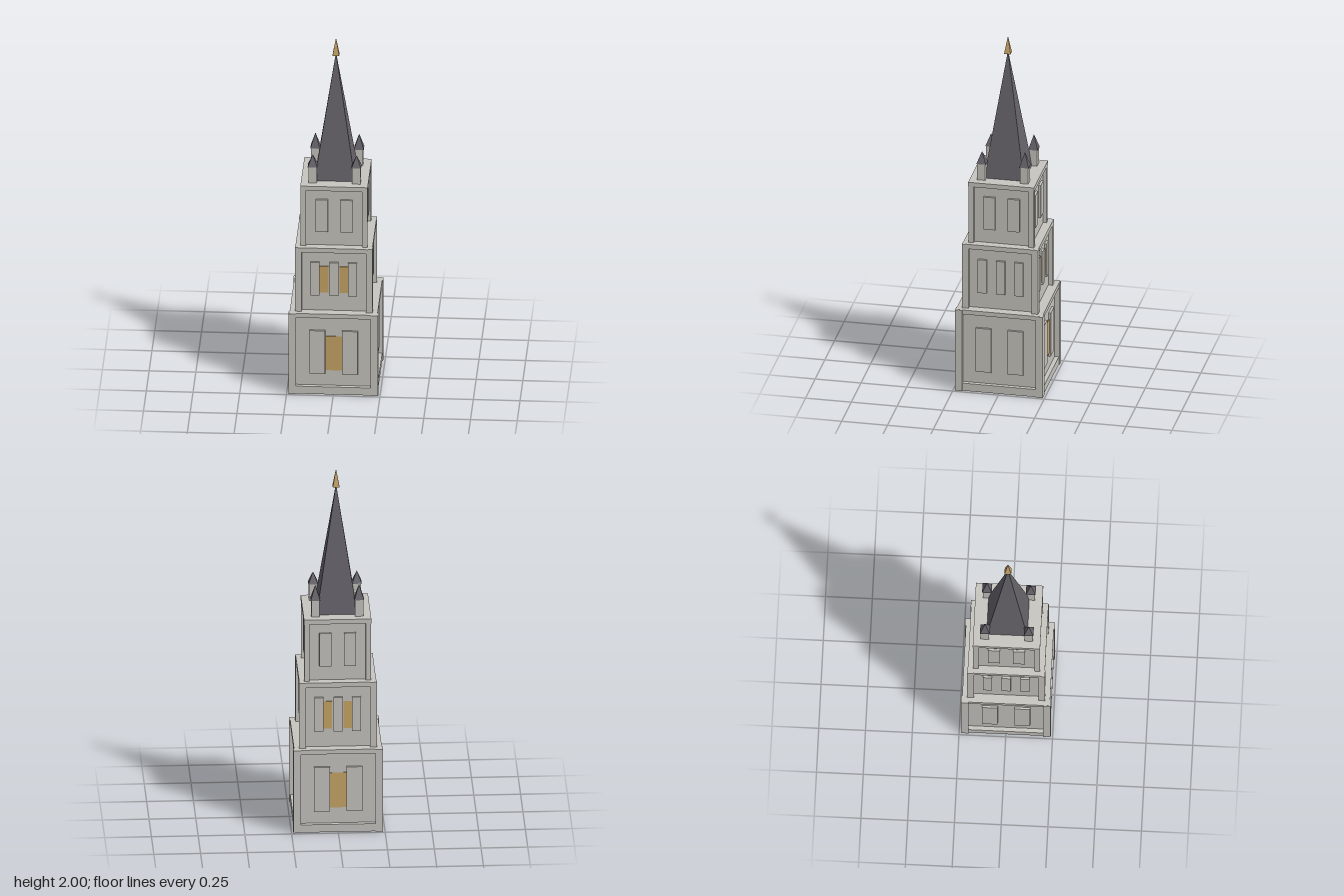
import * as THREE from 'three';

const stone = new THREE.MeshStandardMaterial({ color: 0xc8c6c0 });
stone.name = 'stone';
const slate = new THREE.MeshStandardMaterial({ color: 0x66626a });
slate.name = 'slate';
const gold = new THREE.MeshStandardMaterial({ color: 0xc9a668 });
gold.name = 'gold';

// Box given by its centre in x and z and its bottom and top in y
function block(parent, name, material, w, d, y0, y1, x = 0, z = 0) {
  const mesh = new THREE.Mesh(new THREE.BoxGeometry(w, y1 - y0, d), material);
  mesh.name = name;
  mesh.position.set(x, (y0 + y1) / 2, z);
  parent.add(mesh);
  return mesh;
}

// Square pyramid with crisp faces
function pyramid(parent, name, material, half, y0, y1, x = 0, z = 0) {
  const cone = new THREE.ConeGeometry(half * Math.SQRT2, y1 - y0, 4);
  cone.rotateY(Math.PI / 4);
  const geometry = cone.toNonIndexed();
  geometry.computeVertexNormals();
  const mesh = new THREE.Mesh(geometry, material);
  mesh.name = name;
  mesh.position.set(x, (y0 + y1) / 2, z);
  parent.add(mesh);
}

// Each storey: recessed wall, corner posts, cornice, raised panels, lit windows
const storeys = [
  { name: 'lowerStorey', y0: 0, y1: 0.475, wall: 0.212, band: 0.235, post: 0.24, postIn: 0.2,
    bandY: 0.45, plinthY: 0.045,
    panels: { xs: [-0.087, 0.087], w: 0.085, y0: 0.115, y1: 0.37 },
    windows: { xs: [0], w: 0.088, y0: 0.135, y1: 0.335 } },
  { name: 'middleStorey', y0: 0.475, y1: 0.85, wall: 0.184, band: 0.206, post: 0.208, postIn: 0.172,
    bandY: 0.823,
    panels: { xs: [-0.1, 0, 0.1], w: 0.048, y0: 0.565, y1: 0.76 },
    windows: { xs: [-0.055, 0.055], w: 0.05, y0: 0.58, y1: 0.735 } },
  { name: 'upperStorey', y0: 0.85, y1: 1.203, wall: 0.16, band: 0.18, post: 0.179, postIn: 0.15,
    bandY: 1.177,
    panels: { xs: [-0.066, 0.066], w: 0.064, y0: 0.93, y1: 1.12 } },
];

function buildStorey(s) {
  const group = new THREE.Group();
  group.name = s.name;
  block(group, 'wall', stone, s.wall * 2, s.wall * 2, s.y0, s.y1 - 0.005);
  block(group, 'cornice', stone, s.band * 2, s.band * 2, s.bandY, s.y1);
  if (s.plinthY) block(group, 'plinth', stone, s.band * 2, s.band * 2, 0.001, s.plinthY);

  // Corner posts
  const size = s.post - s.postIn, mid = (s.post + s.postIn) / 2;
  for (const sx of [-1, 1]) for (const sz of [-1, 1])
    block(group, 'cornerPost', stone, size, size, s.y0, s.y1 - 0.001, sx * mid, sz * mid);

  // Four faces, with lit windows on the front and back only
  for (let i = 0; i < 4; i++) {
    const face = new THREE.Group();
    face.name = 'face';
    face.rotation.y = i * Math.PI / 2;
    for (const x of s.panels.xs)
      block(face, 'raisedPanel', stone, s.panels.w, 0.014, s.panels.y0, s.panels.y1, x, s.wall + 0.005);
    if (s.windows && i % 2 === 0)
      for (const x of s.windows.xs)
        block(face, 'litWindow', gold, s.windows.w, 0.008, s.windows.y0, s.windows.y1, x, s.wall);
    group.add(face);
  }
  return group;
}

export function createModel() {
  const tower = new THREE.Group();
  tower.name = 'clockTower';
  tower.name = 'spireTower';
  for (const s of storeys) tower.add(buildStorey(s));

  // Spire and finial
  pyramid(tower, 'spire', slate, 0.109, 1.203, 1.915);
  pyramid(tower, 'finial', gold, 0.018, 1.9, 2);

  // Corner pinnacles, the rear pair slightly taller
  for (const sx of [-1, 1]) for (const sz of [-1, 1]) {
    const pinnacle = new THREE.Group();
    pinnacle.name = 'pinnacle';
    pinnacle.position.set(sx * 0.117, 0, sz * 0.117);
    block(pinnacle, 'shaft', stone, 0.044, 0.044, 1.2, 1.3);
    pyramid(pinnacle, 'pinnacleCap', slate, 0.026, 1.297, sz < 0 ? 1.38 : 1.363);
    tower.add(pinnacle);
  }
  return tower;
}
